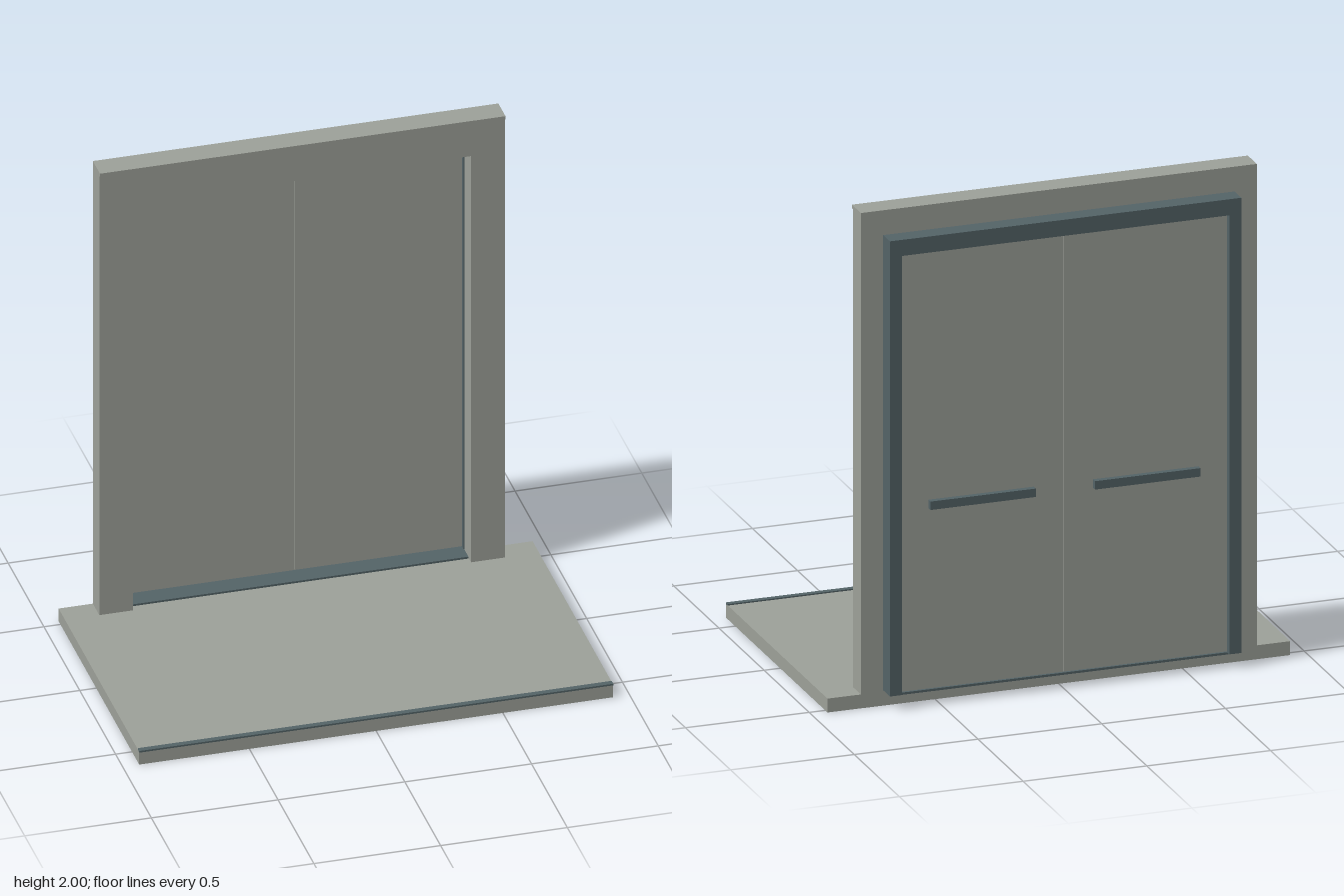
import * as THREE from 'three';

export function createModel() {
  const model = new THREE.Group();
  model.name = 'doubleDoorEntrance';

  const stone = new THREE.MeshStandardMaterial({ color: 0x9ea29a });
  stone.name = 'warm grey';
  const steel = new THREE.MeshStandardMaterial({ color: 0x546468 });
  steel.name = 'dark slate';

  // Box given by its limits on each axis
  function block(name, material, [x0, x1], [y0, y1], [z0, z1]) {
    const geometry = new THREE.BoxGeometry(x1 - x0, y1 - y0, z1 - z0);
    const mesh = new THREE.Mesh(geometry, material);
    mesh.position.set((x0 + x1) / 2, (y0 + y1) / 2, (z0 + z1) / 2);
    mesh.name = name;
    model.add(mesh);
  }

  // Upside-down U frame, extruded along z
  function portal(name, material, outer, inner, [y0, yInner, yOuter], [z0, z1]) {
    const shape = new THREE.Shape([
      [-outer, y0], [-inner, y0], [-inner, yInner], [inner, yInner],
      [inner, y0], [outer, y0], [outer, yOuter], [-outer, yOuter],
    ].map(([x, y]) => new THREE.Vector2(x, y)));
    const geometry = new THREE.ExtrudeGeometry(shape, { depth: z1 - z0, bevelEnabled: false });
    const mesh = new THREE.Mesh(geometry, material);
    mesh.position.z = z0;
    mesh.name = name;
    model.add(mesh);
  }

  // Landing slab with a dark nosing along its front edge
  block('landing', stone, [-0.935, 0.935], [0, 0.056], [-0.525, 0.6]);
  block('landingNosing', steel, [-0.935, 0.935], [0.054, 0.061], [0.58, 0.603]);

  // Outer surround with a slim drip edge along the top
  portal('surround', stone, 0.8, 0.667, [0.056, 1.84, 2], [-0.525, -0.435]);
  block('dripEdge', stone, [-0.8, 0.8], [1.985, 2], [-0.435, -0.425]);

  // Inner door frame and threshold
  portal('doorFrame', steel, 0.71, 0.662, [0.062, 1.835, 1.9], [-0.6, -0.525]);
  block('threshold', steel, [-0.665, 0.665], [0.055, 0.064], [-0.58, -0.465]);

  // Paired door leaves, each with a push bar on the back
  for (const [side, s] of [['left', 1], ['right', -1]]) {
    const span = (a, b) => (s > 0 ? [a, b] : [-b, -a]);
    block(side + 'DoorLeaf', stone, span(0.001, 0.662), [0.066, 1.834], [-0.575, -0.545]);
    block(side + 'PushBar', steel, span(0.12, 0.545), [0.794, 0.828], [-0.598, -0.575]);
  }

  return model;
}
